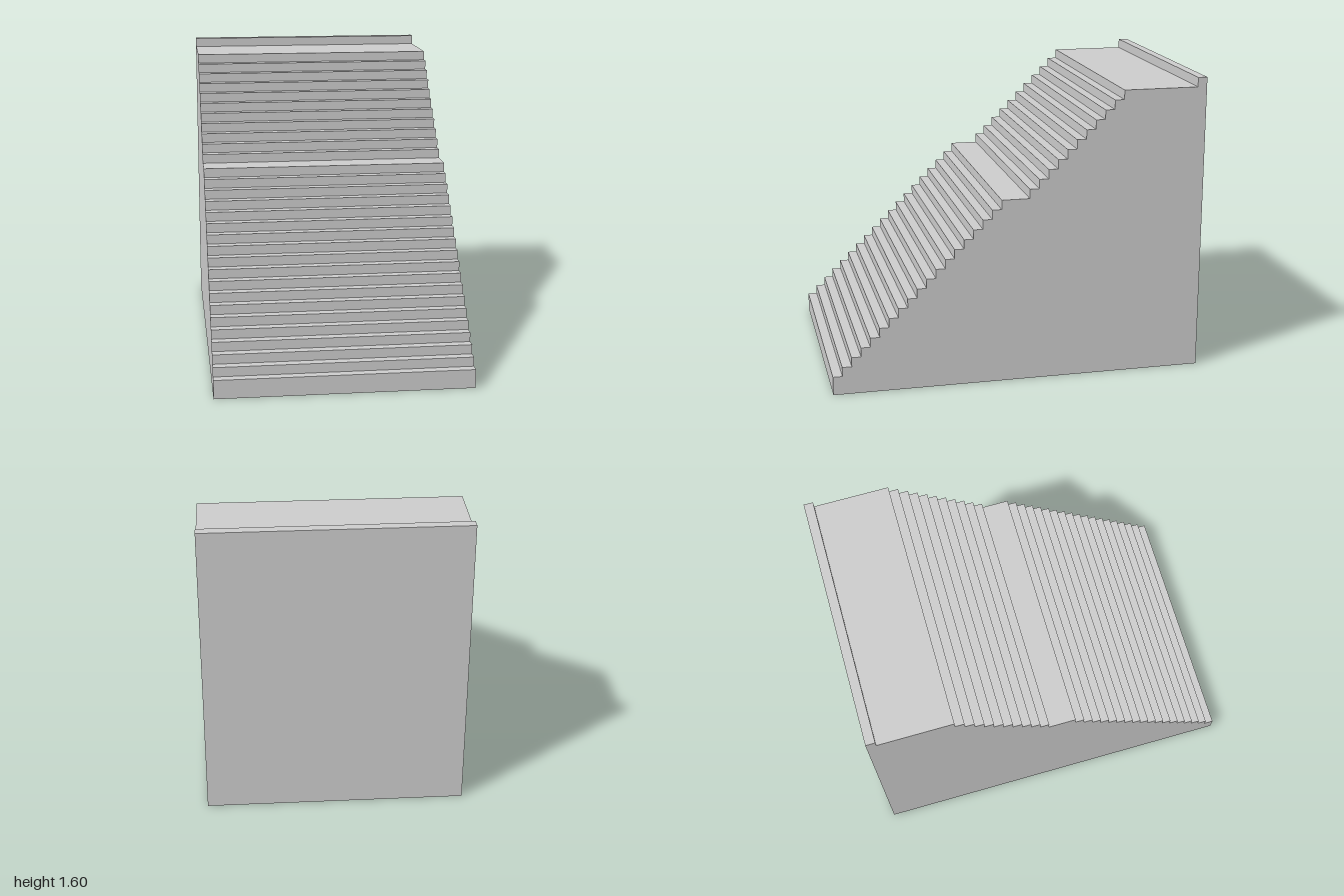
import * as THREE from 'three';

const STEP = 0.05;   // rise and run of one step
const WIDTH = 1.35;

export function createModel() {
  const group = new THREE.Group();
  group.name = 'staircase';

  // Side profile: x runs from front (-1) to back (1), y is height
  const profile = new THREE.Shape();
  let run = -1, height = 0.1;
  profile.moveTo(run, 0);
  profile.lineTo(run, height);

  const tread = (length) => profile.lineTo(run += length, height);
  const riser = () => profile.lineTo(run, height += STEP);
  const flight = (steps) => {
    for (let i = 0; i < steps; i++) {
      if (i > 0) tread(STEP);
      riser();
    }
  };

  tread(STEP);
  flight(18);    // lower flight
  tread(0.15);   // middle landing
  flight(11);    // upper flight
  tread(0.4);    // top landing
  riser();       // low kerb along the back edge
  tread(STEP);
  profile.lineTo(run, 0);
  profile.closePath();

  // Extrude across the width, then turn so the steps face +z
  const geometry = new THREE.ExtrudeGeometry(profile, { depth: WIDTH, bevelEnabled: false });
  geometry.translate(0, 0, -WIDTH / 2);
  geometry.rotateY(Math.PI / 2);

  const stairs = new THREE.Mesh(
    geometry,
    new THREE.MeshStandardMaterial({ color: 0xcccccc, flatShading: true })
  );
  stairs.name = 'solidStairs';
  group.add(stairs);
  return group;
}
